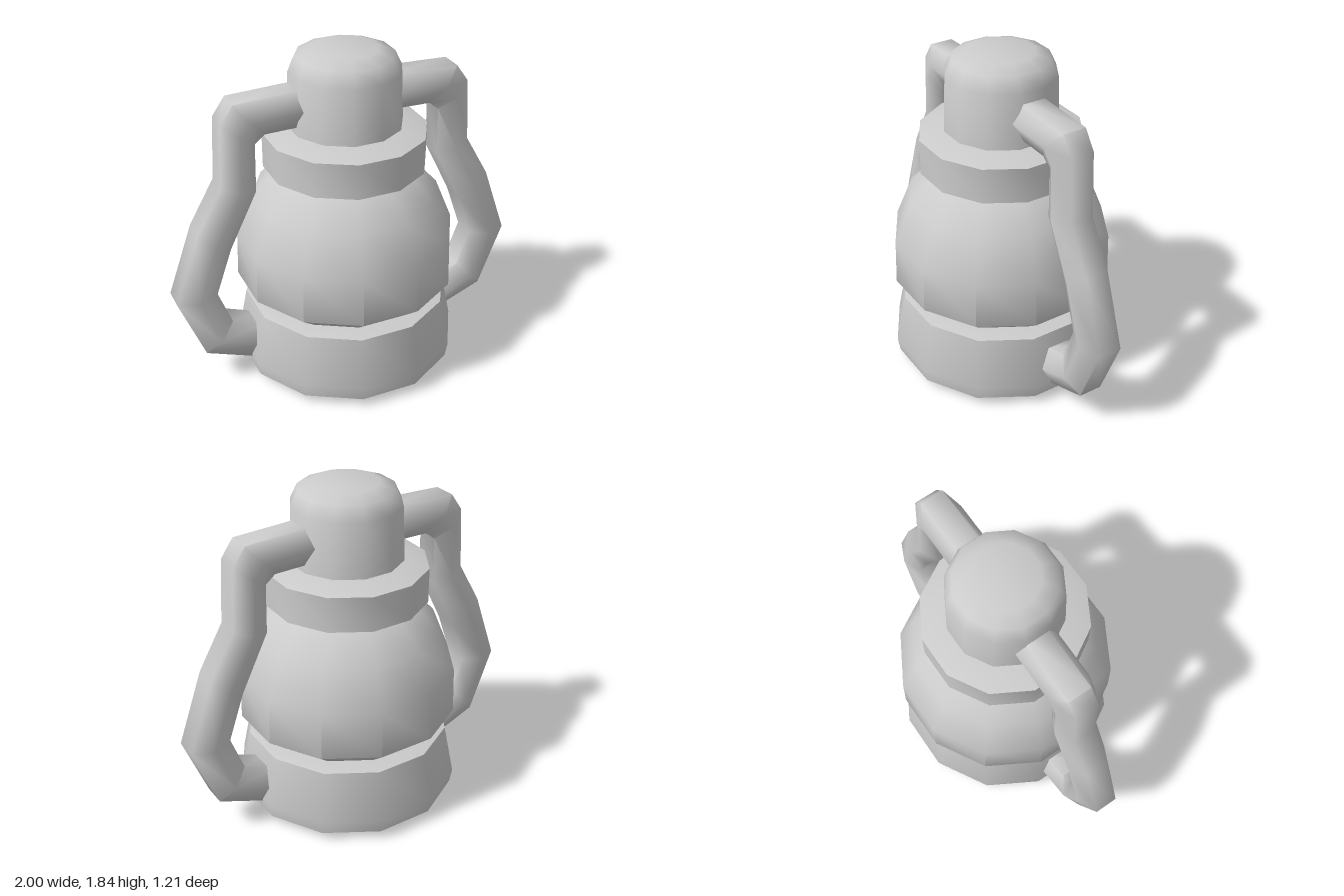
import * as THREE from 'three';
import { toCreasedNormals } from 'three/addons/utils/BufferGeometryUtils.js';

const material = new THREE.MeshStandardMaterial({ color: 0xcccccc });
const SIDES = 12;

// Twelve-sided turned part; profile is [half width across flats, height], bottom to top
function turned(name, profile) {
  const k = 1 / Math.cos(Math.PI / SIDES);
  const points = profile.map(([r, y]) => new THREE.Vector2(r * k, y));
  const geometry = new THREE.LatheGeometry(points, SIDES, Math.PI / SIDES);
  const mesh = new THREE.Mesh(toCreasedNormals(geometry, 1.0), material);
  mesh.name = name;
  return mesh;
}

// Hexagonal tube swept through [outerX, outerY, innerX, innerY] sections
function handleGeometry(sections) {
  const positions = [];
  const index = [];
  const n = 6;
  for (const [ox, oy, ix, iy] of sections) {
    const cx = (ox + ix) / 2, cy = (oy + iy) / 2;
    positions.push(
      ox, oy, 0.065, cx, cy, 0.117, ix, iy, 0.065,
      ix, iy, -0.065, cx, cy, -0.117, ox, oy, -0.065
    );
  }
  for (let i = 0; i < sections.length - 1; i++) {
    for (let j = 0; j < n; j++) {
      const a = i * n + j, b = i * n + (j + 1) % n;
      index.push(a, b, a + n, b, b + n, a + n);
    }
  }
  // end caps
  const last = (sections.length - 1) * n;
  for (let j = 1; j < n - 1; j++) {
    index.push(0, j + 1, j, last, last + j, last + j + 1);
  }
  const geometry = new THREE.BufferGeometry();
  geometry.setAttribute('position', new THREE.Float32BufferAttribute(positions, 3));
  geometry.setIndex(index);
  return toCreasedNormals(geometry, 1.25);
}

export function createModel() {
  const model = new THREE.Group();
  model.name = 'lantern';

  model.add(
    turned('base', [
      [0, 0], [0.515, 0.018], [0.59, 0.05], [0.603, 0.13],
      [0.548, 0.415], [0.48, 0.43], [0, 0.43]
    ]),
    turned('globe', [
      [0, 0.42], [0.45, 0.425], [0.587, 0.54], [0.58, 0.8], [0.49, 1.03], [0.35, 1.18], [0, 1.18]
    ]),
    turned('collar', [
      [0, 1.17], [0.36, 1.17], [0.428, 1.2], [0.428, 1.395], [0.31, 1.43], [0, 1.43]
    ]),
    turned('chimney', [
      [0, 1.42], [0.3, 1.42], [0.288, 1.73], [0.252, 1.81], [0.172, 1.842], [0, 1.842]
    ])
  );

  // Side handles, from chimney down to base
  const geometry = handleGeometry([
    [0.22, 1.675, 0.22, 1.475],
    [0.63, 1.66, 0.47, 1.47],
    [0.7, 1.56, 0.525, 1.425],
    [0.72, 1.21, 0.53, 1.155],
    [0.86, 0.965, 0.685, 0.84],
    [1.0, 0.57, 0.775, 0.58],
    [0.86, 0.21, 0.7, 0.38],
    [0.595, 0.105, 0.525, 0.31]
  ]);
  for (const [name, turn] of [['leftHandle', 0], ['rightHandle', Math.PI]]) {
    const handle = new THREE.Mesh(geometry, material);
    handle.name = name;
    handle.rotation.y = turn;
    handle.position.z = -0.008;
    model.add(handle);
  }
  return model;
}
